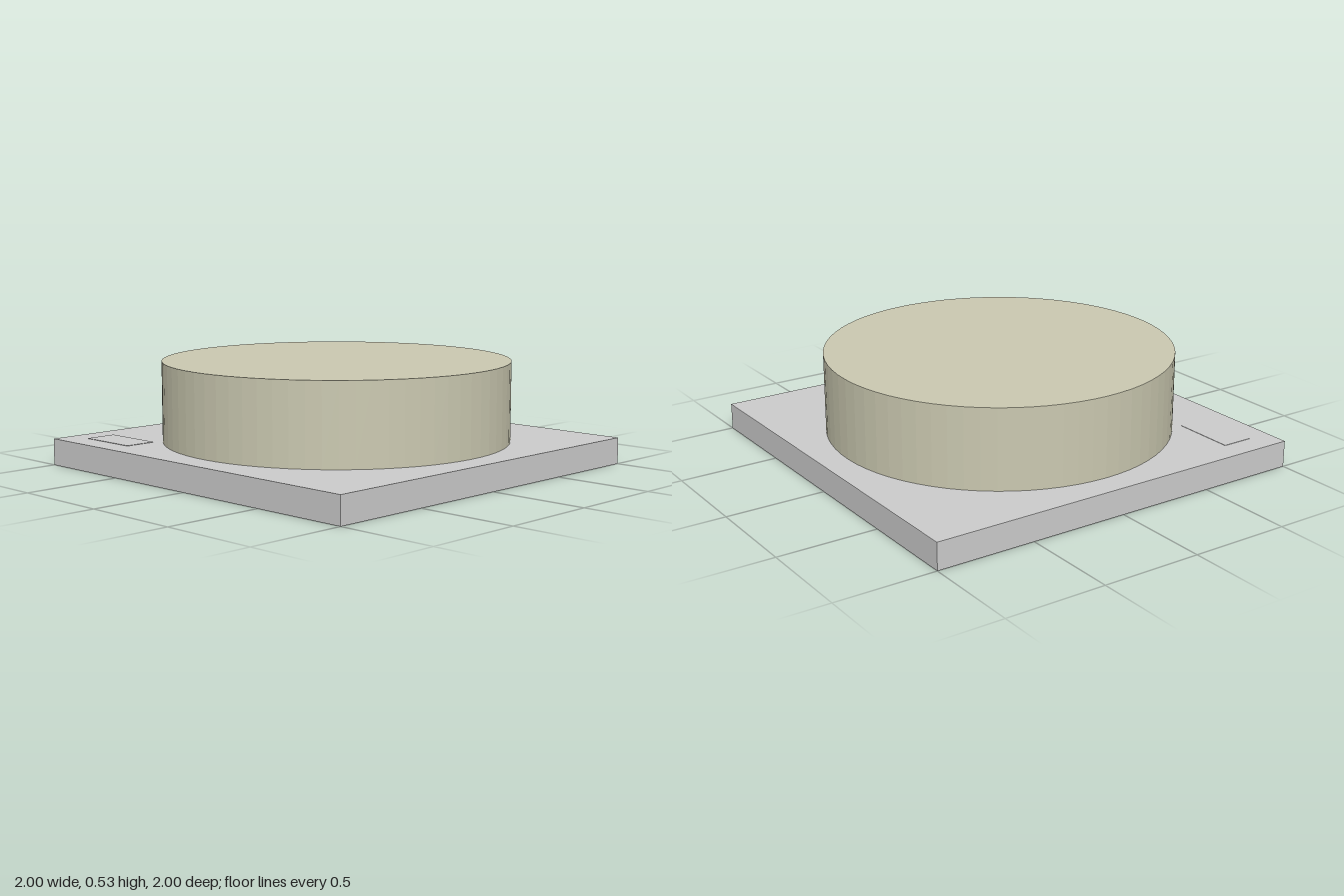
import * as THREE from 'three';

export function createModel() {
  const group = new THREE.Group();
  const grey = new THREE.MeshStandardMaterial({ color: 0xcccccc });
  const cream = new THREE.MeshStandardMaterial({ color: 0xcac8b0, flatShading: true });

  const add = (name, geometry, material, x, y, z) => {
    const mesh = new THREE.Mesh(geometry, material);
    mesh.name = name;
    mesh.position.set(x, y, z);
    group.add(mesh);
  };

  const boardHeight = 0.133;
  const cakeHeight = 0.4;

  // Square board
  add('board', new THREE.BoxGeometry(2, boardHeight, 2), grey, 0, boardHeight / 2, 0);

  // Round cake tier resting on the board
  add('cake', new THREE.CylinderGeometry(0.865, 0.865, cakeHeight, 72), cream,
    0, boardHeight + cakeHeight / 2, 0);

  // Thin blank label plate in the front corner
  add('labelPlate', new THREE.BoxGeometry(0.32, 0.004, 0.16), grey,
    -0.72, boardHeight, 0.8);

  return group;
}
